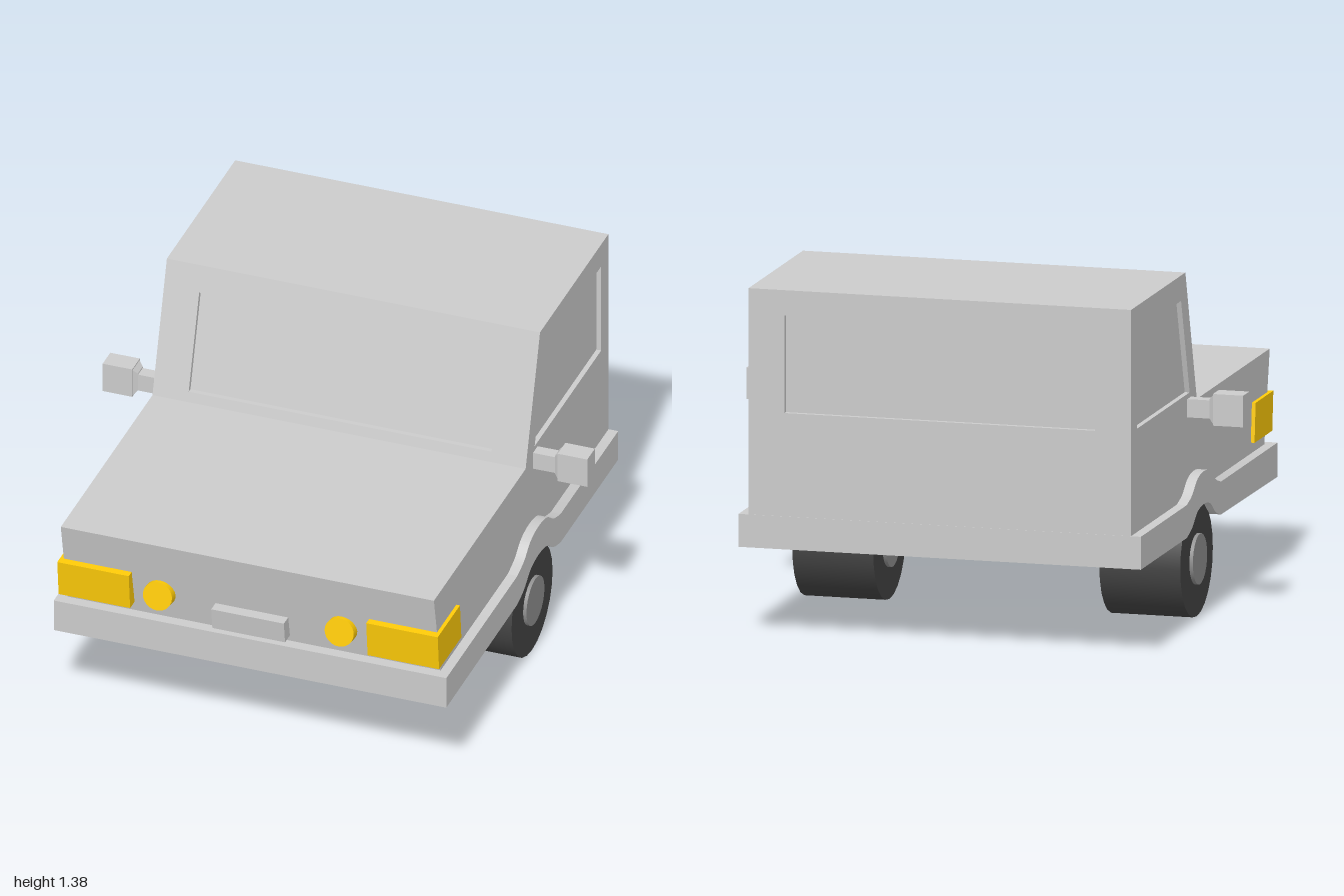
import * as THREE from 'three';
import { toCreasedNormals } from 'three/addons/utils/BufferGeometryUtils.js';

const grey = new THREE.MeshStandardMaterial({ color: 0xcccccc });
const yellow = new THREE.MeshStandardMaterial({ color: 0xffcc08 });
const rubber = new THREE.MeshStandardMaterial({ color: 0x444444 });
const hubGrey = new THREE.MeshStandardMaterial({ color: 0x909090 });

const polygon = (pts) => new THREE.Shape(pts.map(([a, b]) => new THREE.Vector2(a, b)));

// Extrude a (z, y) profile sideways from x0 to x1
function sideExtrude(shape, x0, x1) {
  const geo = new THREE.ExtrudeGeometry(shape, { depth: x1 - x0, bevelEnabled: false, curveSegments: 32 });
  geo.rotateY(-Math.PI / 2).translate(x1, 0, 0);
  return toCreasedNormals(geo, 0.5);
}

// Extrude an (x, y) shape from z0 to z1, leaning in z by slope per unit of height above y0
function leaningPanel(shape, z0, z1, slope = 0, y0 = 0) {
  const geo = new THREE.ExtrudeGeometry(shape, { depth: z1 - z0, bevelEnabled: false });
  geo.translate(0, 0, z0);
  const p = geo.attributes.position;
  for (let i = 0; i < p.count; i++) p.setZ(i, p.getZ(i) + slope * (p.getY(i) - y0));
  geo.computeVertexNormals();
  return geo;
}

const rect = (x0, x1, y0, y1) => polygon([[x0, y0], [x1, y0], [x1, y1], [x0, y1]]);

export function createModel() {
  const model = new THREE.Group();
  const add = (name, geo, mat = grey, parent = model) => {
    const mesh = new THREE.Mesh(geo, mat);
    mesh.name = name;
    parent.add(mesh);
    return mesh;
  };

  const W = 0.77, inset = 0.02, floor = 0.465;
  const hood = 0.85, roof = 1.38, back = -0.97;
  const lean = -0.16 / 0.53; // windscreen slope

  // Cab and hood core, set in behind the window openings
  const profile = (d) => polygon([
    [0.89, floor], [0.97, hood], [-0.05 - d, hood], [-0.21 - d, roof], [back + d, roof], [back + d, floor],
  ]);
  add('bodyCore', sideExtrude(profile(inset), -W + inset, W - inset));

  // Side panels with window openings
  const side = profile(0);
  side.holes.push(polygon([[-0.15, 0.895], [-0.27, 1.28], [-0.89, 1.28], [-0.89, 0.895]]));
  add('leftSidePanel', sideExtrude(side, W - inset, W));
  add('rightSidePanel', sideExtrude(side, -W, -W + inset));

  // Windscreen and rear window frames
  const w = W - inset;
  const windscreen = rect(-w, w, hood, roof);
  windscreen.holes.push(rect(-0.625, 0.625, 0.89, 1.275));
  add('windscreenFrame', leaningPanel(windscreen, -0.05 - inset, -0.05, lean, hood));
  const rear = rect(-w, w, floor, roof);
  rear.holes.push(rect(-0.625, 0.625, 0.895, 1.28));
  add('rearWindowFrame', leaningPanel(rear, back, back + inset));

  // Lower skirt with a wheel arch running right across
  const arch = [[0.15, 0.487], [0.075, 0.511], [0, 0.56], [-0.09, 0.575], [-0.18, 0.56], [-0.255, 0.511], [-0.33, 0.487]];
  const vec = ([a, b]) => new THREE.Vector2(a, b);
  const skirt = new THREE.Shape();
  skirt.moveTo(0.94, 0.352);
  skirt.lineTo(0.94, 0.487);
  skirt.lineTo(...arch[0]);
  skirt.splineThru(arch.slice(1).map(vec));
  skirt.lineTo(back - 0.002, 0.487);
  skirt.lineTo(back - 0.002, 0.357);
  const under = arch.map(([z, y]) => [z, y - 0.13]).reverse();
  skirt.lineTo(...under[0]);
  skirt.splineThru(under.slice(1).map(vec));
  skirt.closePath();
  add('skirt', sideExtrude(skirt, -0.81, 0.81));

  // Number plate holder
  add('frontPlate', leaningPanel(rect(-0.15, 0.15, 0.515, 0.608), 0.88, 0.955, 0.14, 0.515));

  for (const s of [1, -1]) {
    const label = s > 0 ? 'left' : 'right';

    // Wrap-around corner light and round lamp
    const lamp = s > 0 ? rect(0.49, 0.785, 0.53, 0.685) : rect(-0.785, -0.49, 0.53, 0.685);
    add(label + 'CornerLight', leaningPanel(lamp, 0.705, 0.953, 0.1, 0.53), yellow);
    const round = new THREE.CylinderGeometry(0.06, 0.06, 0.08, 24);
    const roundLamp = add(label + 'RoundLamp', round, yellow);
    roundLamp.rotation.x = Math.PI / 2 - 0.15;
    roundLamp.position.set(s * 0.375, 0.607, 0.92);

    // Door mirror: arm, flared collar and head
    const mirror = new THREE.Group();
    mirror.name = label + 'Mirror';
    mirror.position.set(0, 0.842, -0.158);
    model.add(mirror);
    add('mirrorArm', new THREE.BoxGeometry(0.14, 0.072, 0.052), grey, mirror).position.set(s * 0.8, -0.003, 0);
    const collar = new THREE.CylinderGeometry(0.084, 0.054, 0.02, 4, 1).toNonIndexed();
    collar.rotateY(Math.PI / 4).scale(1, 1, 0.7).rotateZ(-s * Math.PI / 2);
    collar.computeVertexNormals();
    add('mirrorCollar', collar, grey, mirror).position.x = s * 0.87;
    add('mirrorHead', new THREE.BoxGeometry(0.122, 0.125, 0.085), grey, mirror).position.x = s * 0.939;

    // Wheel: tyre with a hub showing on both faces
    const wheel = new THREE.Group();
    wheel.name = label + 'Wheel';
    wheel.position.set(s * 0.618, 0.228, -0.092);
    wheel.rotation.z = Math.PI / 2;
    model.add(wheel);
    add('tyre', new THREE.CylinderGeometry(0.228, 0.228, 0.326, 24), rubber, wheel);
    add('hub', new THREE.CylinderGeometry(0.1, 0.1, 0.354, 24), hubGrey, wheel);
  }
  return model;
}
